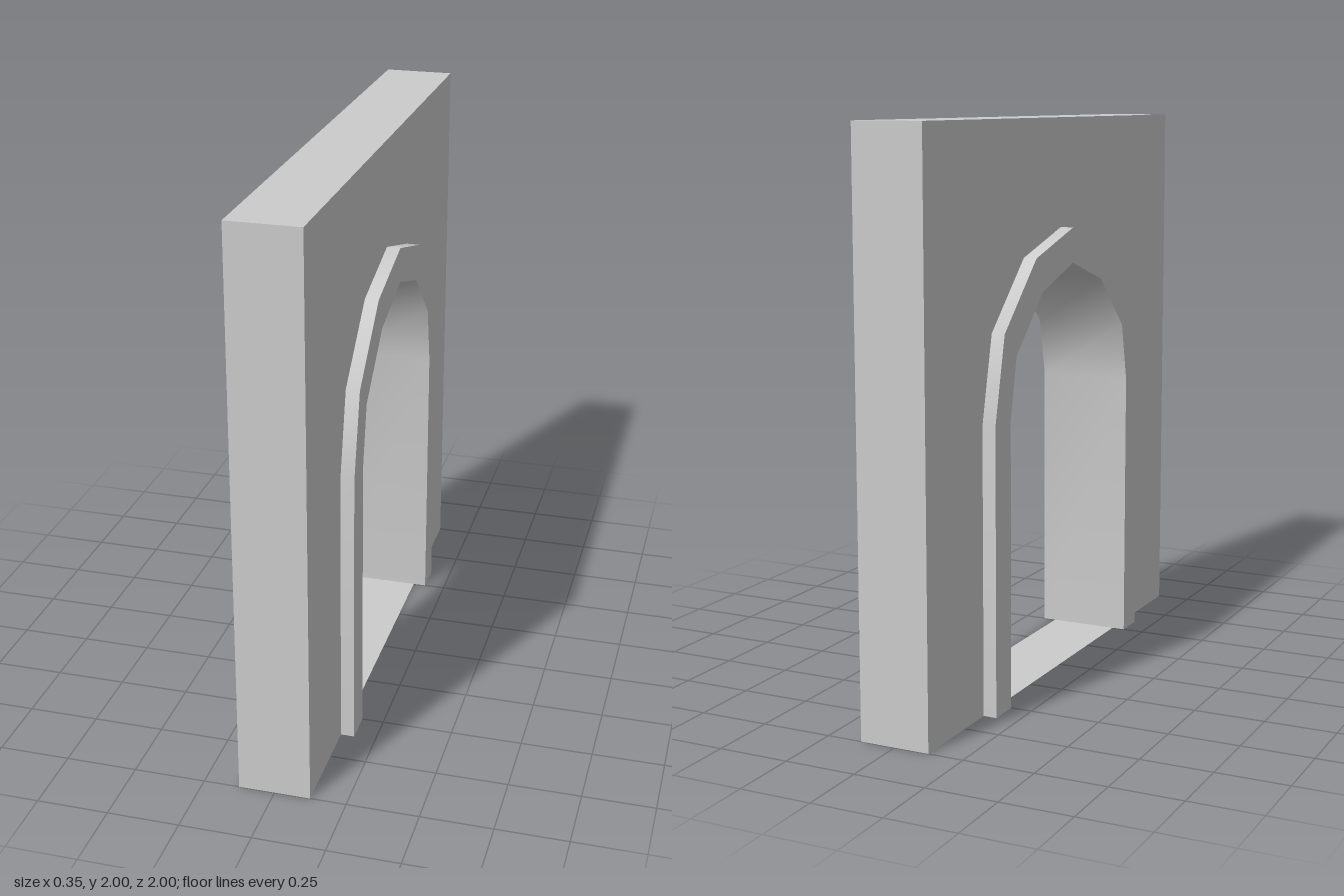
import * as THREE from 'three';
import { toCreasedNormals } from 'three/addons/utils/BufferGeometryUtils.js';

const WALL = 0.25, FRAME = 0.346;

// Right half of each arch outline, from the foot up to the point
const INNER = [[0.5, 0], [0.5, 1], [0.455, 1.215], [0.25, 1.41], [0, 1.49]];
const OUTER = [[0.613, 0], [0.613, 1], [0.543, 1.3], [0.3, 1.53], [0, 1.615]];

// Full outline, right foot over the point to left foot
function arch(half) {
  const left = half.slice(0, -1).reverse().map(([x, y]) => [-x, y]);
  return [...half, ...left].map(([x, y]) => new THREE.Vector2(x, y));
}

// Extrude a side outline along x, centred on the wall
function slab(points, depth) {
  const geo = new THREE.ExtrudeGeometry(new THREE.Shape(points), { depth, bevelEnabled: false });
  geo.translate(0, 0, -depth / 2);
  geo.rotateY(Math.PI / 2);
  return toCreasedNormals(geo, 0.7);
}

export function createModel() {
  const group = new THREE.Group();
  const material = new THREE.MeshStandardMaterial({ color: 0xcccccc });
  const add = (name, geo, mat = material) => {
    const mesh = new THREE.Mesh(geo, mat);
    mesh.name = name;
    group.add(mesh);
    return mesh;
  };

  // Square wall, cut out where the frame sits
  const corners = [[-1, 0], [-1, 2], [1, 2], [1, 0]].map(([x, y]) => new THREE.Vector2(x, y));
  add('wall', slab([...corners, ...arch(OUTER)], WALL));

  // Pointed frame, proud of both wall faces and lining the opening
  add('archFrame', slab([...arch(OUTER), ...arch(INNER).reverse()], FRAME));

  // Thin threshold between the frame's feet
  const sill = new THREE.PlaneGeometry(WALL, 1).rotateX(-Math.PI / 2);
  const sheet = new THREE.MeshStandardMaterial({ color: 0xcccccc, side: THREE.DoubleSide });
  add('threshold', sill, sheet);

  return group;
}
